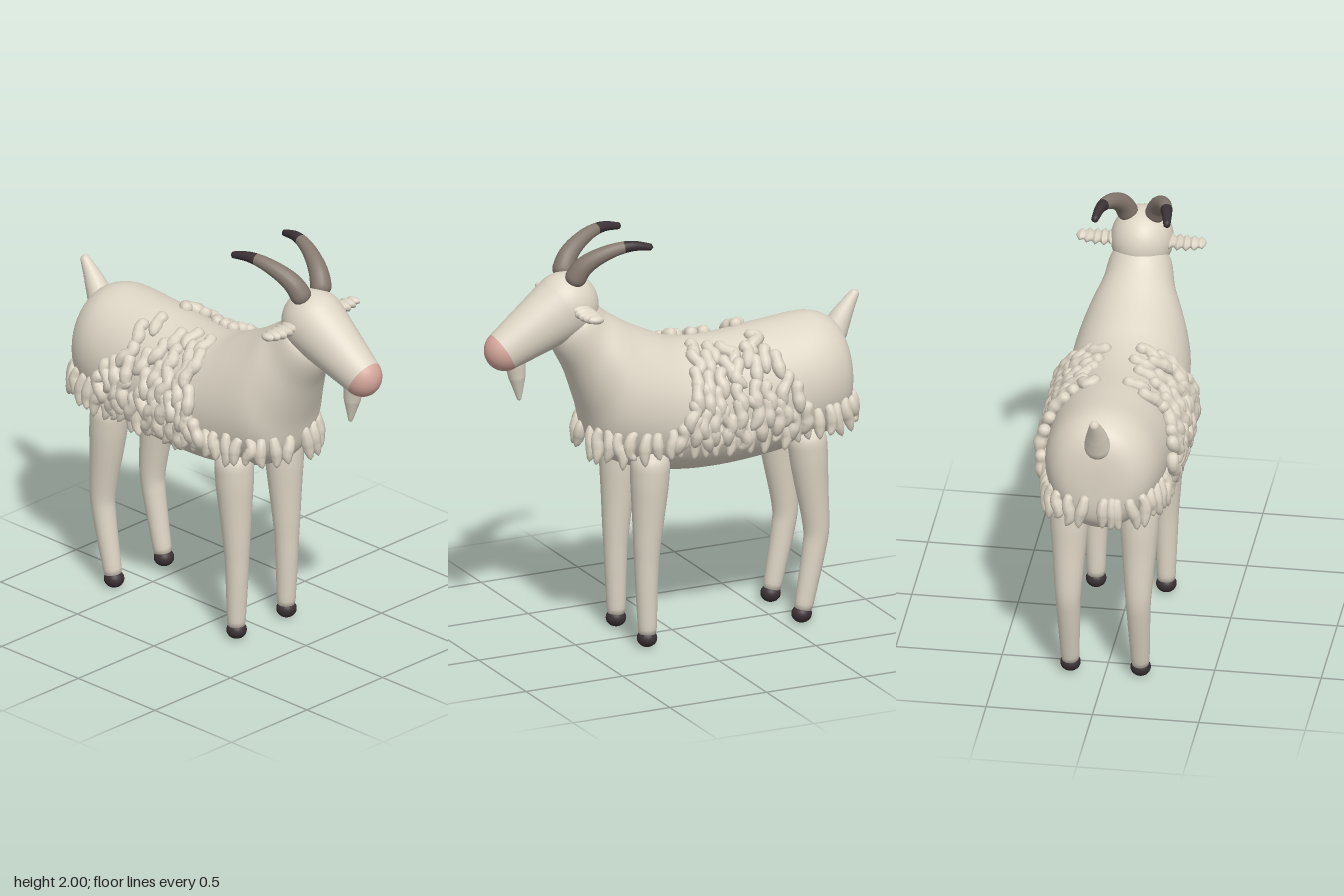
import * as THREE from 'three';
import { mergeVertices } from 'three/addons/utils/BufferGeometryUtils.js';

const material = (name, color, side = THREE.FrontSide) => {
  const m = new THREE.MeshStandardMaterial({ color, side });
  m.name = name;
  return m;
};
const V = (x, y, z) => new THREE.Vector3(x, y, z);

// Body sections from rump to neck: top z, top y, bottom z, bottom y, half width
const SECTIONS = [
  [-0.88, 1.16, -0.88, 1.14, 0],
  [-0.875, 1.27, -0.875, 1.02, 0.1],
  [-0.855, 1.36, -0.855, 0.95, 0.17],
  [-0.81, 1.42, -0.8, 0.89, 0.225],
  [-0.72, 1.457, -0.7, 0.86, 0.265],
  [-0.5, 1.445, -0.5, 0.82, 0.285],
  [-0.2, 1.42, -0.2, 0.795, 0.29],
  [0, 1.44, 0.05, 0.81, 0.29],
  [0.12, 1.49, 0.28, 0.87, 0.28],
  [0.22, 1.54, 0.41, 0.96, 0.26],
  [0.3, 1.59, 0.47, 1.14, 0.22],
  [0.37, 1.64, 0.54, 1.33, 0.17],
  [0.43, 1.7, 0.62, 1.51, 0.135],
  [0.5, 1.68, 0.58, 1.62, 0.04],
];
const LAST = SECTIONS.length - 1;
const topLine = new THREE.CatmullRomCurve3(SECTIONS.map(s => V(s[4], s[1], s[0])));
const bottomLine = new THREE.CatmullRomCurve3(SECTIONS.map(s => V(0, s[3], s[2])));

// Point on the body: s is the section number, a the angle down from the spine
function bodyPoint(s, a) {
  const t = topLine.getPoint(s / LAST), b = bottomLine.getPoint(s / LAST);
  const c = Math.cos(a) / 2;
  return V(Math.max(t.x, 0) * Math.sin(a),
    (t.y + b.y) / 2 + (t.y - b.y) * c, (t.z + b.z) / 2 + (t.z - b.z) * c);
}
function bodyNormal(s, a) {
  const e = 0.02, ds = bodyPoint(s + e, a).sub(bodyPoint(s - e, a));
  return ds.cross(bodyPoint(s, a + e).sub(bodyPoint(s, a - e))).normalize();
}

function bodyGeometry(rows = 78, cols = 40) {
  const pos = [], index = [];
  for (let i = 0; i <= rows; i++) {
    for (let j = 0; j < cols; j++) pos.push(...bodyPoint(i / rows * LAST, j / cols * Math.PI * 2));
  }
  for (let i = 0; i < rows; i++) {
    for (let j = 0; j < cols; j++) {
      const k = (j + 1) % cols, a = i * cols, b = a + cols;
      index.push(a + j, b + j, b + k, a + j, b + k, a + k);
    }
  }
  const g = new THREE.BufferGeometry();
  g.setAttribute('position', new THREE.Float32BufferAttribute(pos, 3));
  g.setIndex(index);
  g.computeVertexNormals();
  return g;
}

// Smooth limb along a path with changing radius and rounded ends
function taper(points, radii, segs = 36, sides = 18) {
  const curve = new THREE.CatmullRomCurve3(points);
  const len = curve.getLength();
  let g = new THREE.TubeGeometry(curve, segs, 1, sides);
  const p = g.attributes.position, v = V();
  const cap = (d, r) => d >= r ? 1 : Math.sqrt(Math.max(0, 1 - (1 - d / r) ** 2));
  for (let i = 0; i <= segs; i++) {
    const u = i / segs, c = curve.getPointAt(u), f = u * (radii.length - 1);
    const k = Math.min(Math.floor(f), radii.length - 2);
    const r = THREE.MathUtils.lerp(radii[k], radii[k + 1], f - k)
      * cap(u * len, radii[0]) * cap((1 - u) * len, radii.at(-1));
    for (let j = 0; j <= sides; j++) {
      const n = i * (sides + 1) + j;
      v.fromBufferAttribute(p, n).sub(c).multiplyScalar(r).add(c);
      p.setXYZ(n, v.x, v.y, v.z);
    }
  }
  g.deleteAttribute('uv');
  g.deleteAttribute('normal');
  g = mergeVertices(g, 1e-5);
  g.computeVertexNormals();
  return g;
}

export function createModel() {
  const model = new THREE.Group();
  model.name = 'goat';
  const wool = material('cream wool', 0xddd5c5);
  const pink = material('nose pink', 0xd5a79b, THREE.DoubleSide);
  const horn = material('horn brown', 0x85796f);
  const dark = material('hoof dark', 0x3a3134);
  const add = (name, geometry, mat, parent = model) => {
    const m = new THREE.Mesh(geometry, mat);
    m.name = name;
    parent.add(m);
    return m;
  };
  let seed = 7;
  const rand = () => (seed = (seed * 16807) % 2147483647) / 2147483647;
  const jitter = r => (rand() - 0.5) * 2 * r;

  add('body', bodyGeometry(), wool);

  // Head: two spheres joined by a cone, with a pink nose cap
  const R = 0.16, r = 0.1, L = 0.355, tilt = Math.asin((R - r) / L);
  const arc = (rad, y, from, to) => Array.from({ length: 15 }, (_, i) => {
    const a = from + (to - from) * i / 14;
    return new THREE.Vector2(Math.max(0, rad * Math.cos(a)), y + rad * Math.sin(a));
  });
  const head = new THREE.Group();
  head.name = 'head';
  head.position.set(0, 1.68, 0.555);
  head.scale.x = 0.92;
  head.quaternion.setFromUnitVectors(V(0, 1, 0), V(0, -0.49, 0.87).normalize());
  model.add(head);
  const skull = [...arc(R, 0, -Math.PI / 2, tilt), new THREE.Vector2(r * Math.cos(tilt), L + r * Math.sin(tilt))];
  add('skull', new THREE.LatheGeometry(skull, 36), wool, head);
  add('nose', new THREE.LatheGeometry(arc(r, L, tilt, Math.PI / 2), 36), pink, head);

  add('beard', taper([V(0, 1.48, 0.82), V(0, 1.38, 0.805), V(0, 1.245, 0.79)], [0.055, 0.04, 0.008]), wool);
  add('tail', taper([V(0, 1.29, -0.81), V(0, 1.42, -0.88), V(0, 1.53, -0.955)], [0.075, 0.05, 0.018]), wool);

  for (const side of [-1, 1]) {
    const label = side > 0 ? 'left' : 'right';

    // Horn sweeping back, with a dark tip
    const hornShape = taper([V(side * 0.055, 1.79, 0.55), V(side * 0.085, 1.885, 0.5), V(side * 0.125, 1.95, 0.4),
      V(side * 0.155, 1.976, 0.29), V(side * 0.172, 1.96, 0.18)], [0.054, 0.046, 0.036, 0.026, 0.015]);
    const split = 25 * 18 * 6;
    hornShape.addGroup(0, split, 0);
    hornShape.addGroup(split, hornShape.index.count - split, 1);
    add(label + 'Horn', hornShape, [horn, dark]);

    // Ribbed ear
    const ribs = [0.04, 0.034, 0.056, 0.034, 0.057, 0.034, 0.055, 0.032, 0.05, 0.03, 0.042, 0.03];
    const ear = add(label + 'Ear', taper([V(side * 0.1, 0, 0), V(side * 0.2, -0.012, 0), V(side * 0.305, 0, 0)], ribs, 66, 20), wool);
    ear.scale.y = 0.52;
    ear.position.set(0, 1.69, 0.53);
    ear.rotation.x = -0.1;

    // Legs and hooves
    const x = side * 0.165;
    add(label + 'FrontLeg', taper([V(x, 0.98, 0.19), V(x, 0.72, 0.2), V(x, 0.42, 0.212), V(x, 0.04, 0.208)],
      [0.097, 0.09, 0.073, 0.058, 0.05, 0.042]), wool);
    add(label + 'BackLeg', taper([V(x, 0.98, -0.61), V(x, 0.72, -0.635), V(x, 0.44, -0.665), V(x, 0.36, -0.655), V(x, 0.04, -0.592)],
      [0.097, 0.09, 0.073, 0.058, 0.05, 0.042]), wool);
    for (const z of [0.21, -0.59]) {
      const hoof = add(label + (z > 0 ? 'FrontHoof' : 'BackHoof'), new THREE.SphereGeometry(0.048, 20, 14), dark);
      hoof.scale.y = 0.88;
      hoof.position.set(x, 0.043, z);
    }
  }

  const fleece = new THREE.Group();
  fleece.name = 'fleece';
  model.add(fleece);

  // Ring of hanging tufts around the lower body
  const fringeY = 1.05, ring = [];
  for (let s = 1.05; s < 9.45; s += 0.05) {
    const c = bodyPoint(s, 0).y, b = bodyPoint(s, Math.PI).y;
    const q = (fringeY - (c + b) / 2) / ((c - b) / 2);
    if (q > -1) ring.push(bodyPoint(s, Math.acos(q)));
  }
  const loop = new THREE.CatmullRomCurve3([...ring, ...ring.map(p => V(-p.x, p.y, p.z)).reverse()], true);
  const count = 56;
  for (let i = 0; i < count; i++) {
    const u = i / count, p = loop.getPointAt(u), t = loop.getTangentAt(u);
    let out = V(t.z, 0, -t.x).normalize();
    if (out.x * p.x + out.z * (p.z + 0.2) < 0) out = out.negate();
    const at = (o, y) => p.clone().addScaledVector(out, o).addScaledVector(t, jitter(0.018)).add(V(0, y + jitter(0.012), 0));
    add('fringeTuft', taper([at(-0.005, 0.04), at(0.012, -0.01), at(0.016, -0.07), at(0.03, -0.115 + jitter(0.02))],
      [0.018, 0.026, 0.031, 0.025, 0.008], 12, 8), wool, fleece);
  }

  // Rows of tufts over the back and flanks: start angle, first and last section, count, lift
  const rows = [
    [0.22, 5.3, 7.0, 4, 0.004], [0.5, 5.2, 7.05, 5, 0.012], [0.78, 5.1, 7.1, 6, 0.022],
    [1.05, 5.0, 7.15, 7, 0.03], [1.32, 4.85, 7.2, 9, 0.036], [1.55, 4.7, 7.4, 10, 0.038],
  ];
  for (const side of [-1, 1]) {
    for (const [a, from, to, n, lift] of rows) {
      for (let i = 0; i < n; i++) {
        const s = from + (to - from) * (i + 0.5) / n + jitter(0.06), start = a + jitter(0.1);
        const points = [0, 0.16, 0.31, 0.48].map((d, k) => {
          const q = s + jitter(0.1);
          const p = bodyPoint(q, start + d).addScaledVector(bodyNormal(q, start + d), lift * (0.6 + 0.2 * k));
          p.x *= side;
          return p;
        });
        add('backTuft', taper(points, [0.024, 0.032, 0.027, 0.034, 0.027, 0.01], 16, 9), wool, fleece);
      }
    }
  }
  return model;
}
